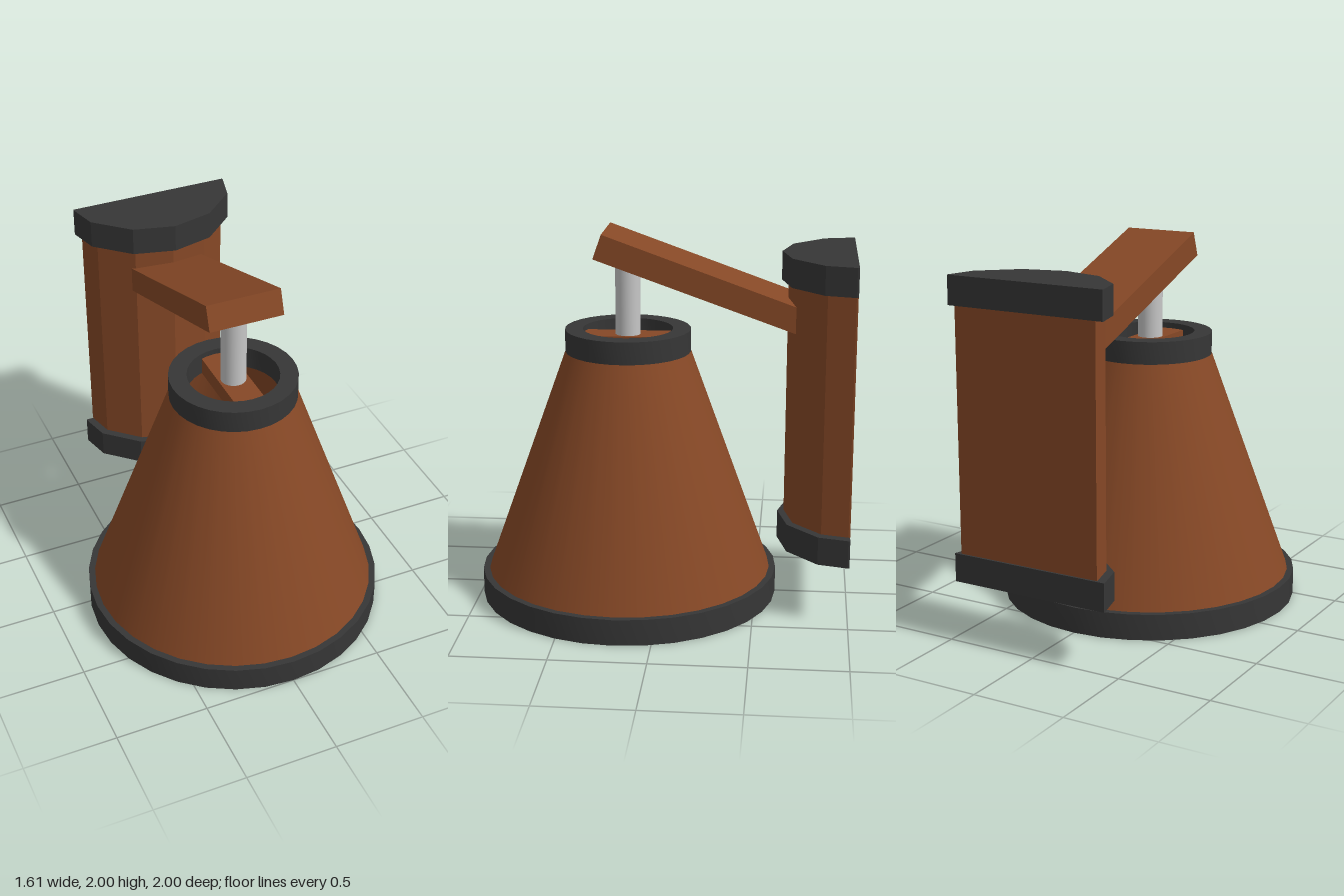
import * as THREE from 'three';
import { toCreasedNormals } from 'three/addons/utils/BufferGeometryUtils.js';

const flat = (name, color) => {
  const m = new THREE.MeshStandardMaterial({ color });
  m.name = name;
  return m;
};

export function createModel() {
  const copper = flat('brown', 0x864826);
  const iron = flat('dark grey', 0x363636);
  const steel = flat('light grey', 0xc6c6c6);
  const group = new THREE.Group();
  const shadeZ = 0.195;

  const add = (name, geometry, material, x = 0, y = 0, z = 0) => {
    const mesh = new THREE.Mesh(geometry, material);
    mesh.name = name;
    mesh.position.set(x, y, z);
    group.add(mesh);
    return mesh;
  };

  // Hollow round part: outer and inner radius at bottom and top
  const tube = (y0, out0, in0, y1, out1, in1) => {
    const profile = [[out0, y0], [out1, y1], [in1, y1], [in0, y0], [out0, y0]];
    const lathe = new THREE.LatheGeometry(profile.map(p => new THREE.Vector2(...p)), 32);
    return toCreasedNormals(lathe, Math.PI / 6);
  };

  // Lamp shade with its two rims
  add('shade', tube(0.14, 0.77, 0.67, 1.35, 0.335, 0.24), copper, 0, 0, shadeZ);
  add('bottomRim', tube(0, 0.805, 0.665, 0.14, 0.805, 0.665), iron, 0, 0, shadeZ);
  add('topRim', tube(1.35, 0.335, 0.24, 1.47, 0.335, 0.24), iron, 0, 0, shadeZ);

  // Cross bar inside the top rim, and the rod that hangs it from the arm
  add('crossBar', new THREE.BoxGeometry(0.16, 0.09, 0.52), copper, 0, 1.395, shadeZ);
  add('rod', new THREE.CylinderGeometry(0.067, 0.067, 0.46, 24), steel, 0, 1.65, shadeZ);

  // Sloping arm, drawn in side profile (z, y) and extruded across x
  const armProfile = [[0.355, 1.872], [0.31, 2.0], [-0.78, 1.61], [-0.78, 1.47]];
  const armShape = new THREE.Shape(armProfile.map(([z, y]) => new THREE.Vector2(-z, y)));
  const arm = new THREE.ExtrudeGeometry(armShape, { depth: 0.4, bevelEnabled: false });
  arm.translate(0, 0, -0.2).rotateY(Math.PI / 2);
  add('arm', arm, copper);

  // Wall mount: faceted half column with a larger cap at each end
  const half = [[0.44, 0], [0.44, 0.01], [0.4, 0.165], [0.222, 0.33]];
  const outline = [...half, [0, 0.385], ...half.map(([x, d]) => [-x, d]).reverse()];
  const halfColumn = (scale, height) => {
    const shape = new THREE.Shape(outline.map(([x, d]) => new THREE.Vector2(x * scale, -d * scale)));
    const g = new THREE.ExtrudeGeometry(shape, { depth: height, bevelEnabled: false });
    return g.rotateX(-Math.PI / 2);
  };
  add('wallColumn', halfColumn(0.91, 1.27), copper, 0.02, 0.48, -1);
  for (const [name, y] of [['lowerCap', 0.325], ['upperCap', 1.75]]) {
    add(name, halfColumn(1, 0.15), iron, 0.02, y, -1);
  }

  return group;
}
